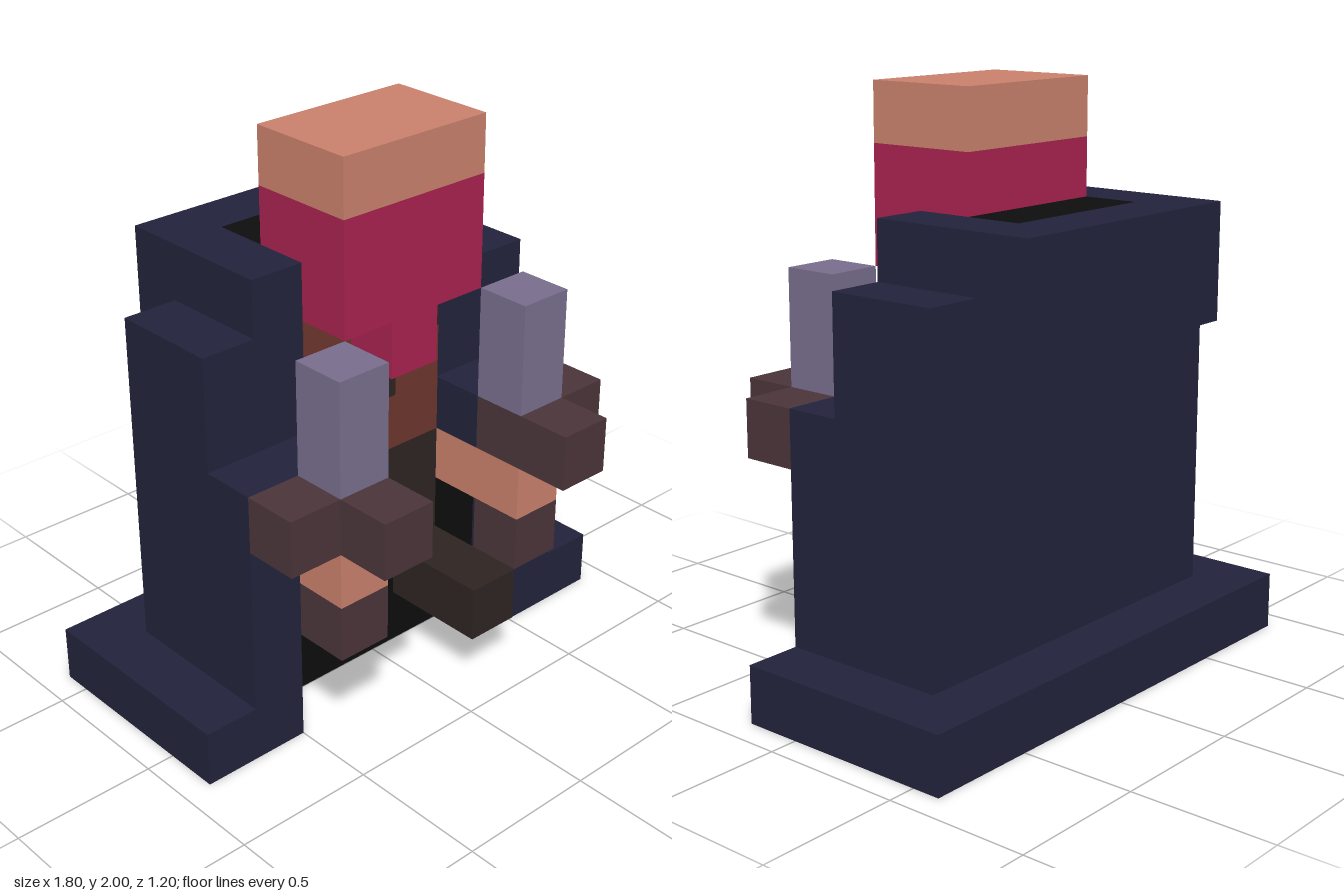
import * as THREE from 'three';

const paint = (name, color) => {
  const m = new THREE.MeshStandardMaterial({ color });
  m.name = name;
  return m;
};

export function createModel() {
  const model = new THREE.Group();
  model.name = 'cloakedFigure';

  const navy = paint('navy cloth', 0x22233b);
  const black = paint('black', 0x0d0d0d);
  const skin = paint('skin', 0xc9806c);
  const crimson = paint('crimson', 0xa8224f);
  const lilac = paint('lilac', 0x786d8d);
  const maroon = paint('maroon', 0x4a343a);
  const rust = paint('rust brown', 0x6c352e);
  const umber = paint('dark brown', 0x2d2422);

  // Block given by its extents along each axis
  const block = (name, mat, [x0, x1], [y0, y1], [z0, z1]) => {
    const mesh = new THREE.Mesh(new THREE.BoxGeometry(x1 - x0, y1 - y0, z1 - z0), mat);
    mesh.position.set((x0 + x1) / 2, (y0 + y1) / 2, (z0 + z1) / 2);
    mesh.name = name;
    model.add(mesh);
  };
  // The same block on both sides of the body
  const pair = (name, mat, [x0, x1], y, z) => {
    block(name + 'Left', mat, [x0, x1], y, z);
    block(name + 'Right', mat, [-x1, -x0], y, z);
  };

  // Head
  block('scalp', skin, [-0.3, 0.3], [1.8, 2], [-0.2, 0.2]);
  block('face', crimson, [-0.3, 0.3], [1.4, 1.8], [-0.2, 0.2]);
  block('chin', crimson, [-0.1, 0.1], [1.2, 1.4], [0, 0.2]);

  // Dark inside of the cloak
  block('robeFoot', black, [-0.7, 0.7], [0, 0.2], [-0.4, 0]);
  block('robe', black, [-0.5, 0.5], [0.2, 0.8], [-0.2, 0]);
  block('torso', black, [-0.3, 0.3], [0.8, 1.4], [-0.2, 0]);
  block('hoodLining', black, [-0.3, 0.3], [1.2, 1.6], [-0.4, -0.2]);

  // Cloak: back, hood, sides and spreading hem
  block('cloakBack', navy, [-0.5, 0.5], [0.2, 1.2], [-0.4, -0.2]);
  block('hoodBack', navy, [-0.5, 0.5], [1.2, 1.6], [-0.6, -0.4]);
  pair('hoodSide', navy, [0.3, 0.5], [1.2, 1.6], [-0.4, 0]);
  pair('cloakChest', navy, [0.3, 0.5], [0.8, 1.2], [-0.2, 0]);
  pair('cloakSide', navy, [0.5, 0.7], [0.2, 1], [-0.4, 0.2]);
  pair('shoulder', navy, [0.5, 0.7], [1, 1.4], [-0.4, 0]);
  pair('sleeve', navy, [0.3, 0.5], [0.8, 1], [0, 0.2]);
  block('hemBack', navy, [-0.7, 0.7], [0, 0.2], [-0.6, -0.4]);
  pair('hemSide', navy, [0.7, 0.9], [0, 0.2], [-0.6, 0.2]);
  pair('hemFront', navy, [0.5, 0.7], [0, 0.2], [0, 0.2]);

  // Forearms holding two daggers
  pair('forearm', skin, [0.3, 0.5], [0.6, 0.8], [0, 0.4]);
  pair('blade', lilac, [0.3, 0.5], [1, 1.4], [0.2, 0.4]);
  pair('guard', maroon, [0.3, 0.5], [0.8, 1], [0.2, 0.6]);
  pair('guardSide', maroon, [0.5, 0.7], [0.8, 1], [0.2, 0.4]);
  pair('pommel', maroon, [0.3, 0.5], [0.4, 0.6], [0.2, 0.4]);
  block('foot', umber, [0.1, 0.3], [0.2, 0.4], [0, 0.4]);

  // Leather patches on the chest: material, x range, y range
  [
    [rust, [-0.3, -0.1], [1, 1.4]],
    [umber, [-0.1, 0.1], [1, 1.2]],
    [umber, [0.1, 0.3], [1.2, 1.4]],
    [rust, [0.1, 0.3], [1, 1.2]],
    [umber, [-0.3, -0.1], [0.8, 1]],
    [rust, [-0.1, 0.3], [0.8, 1]],
    [umber, [-0.3, 0.3], [0.6, 0.8]],
    [rust, [-0.5, -0.1], [0.4, 0.6]],
    [umber, [0.1, 0.3], [0.4, 0.6]],
  ].forEach(([mat, x, y], i) => block('chestPatch' + (i + 1), mat, x, y, [0, 0.005]));

  return model;
}
